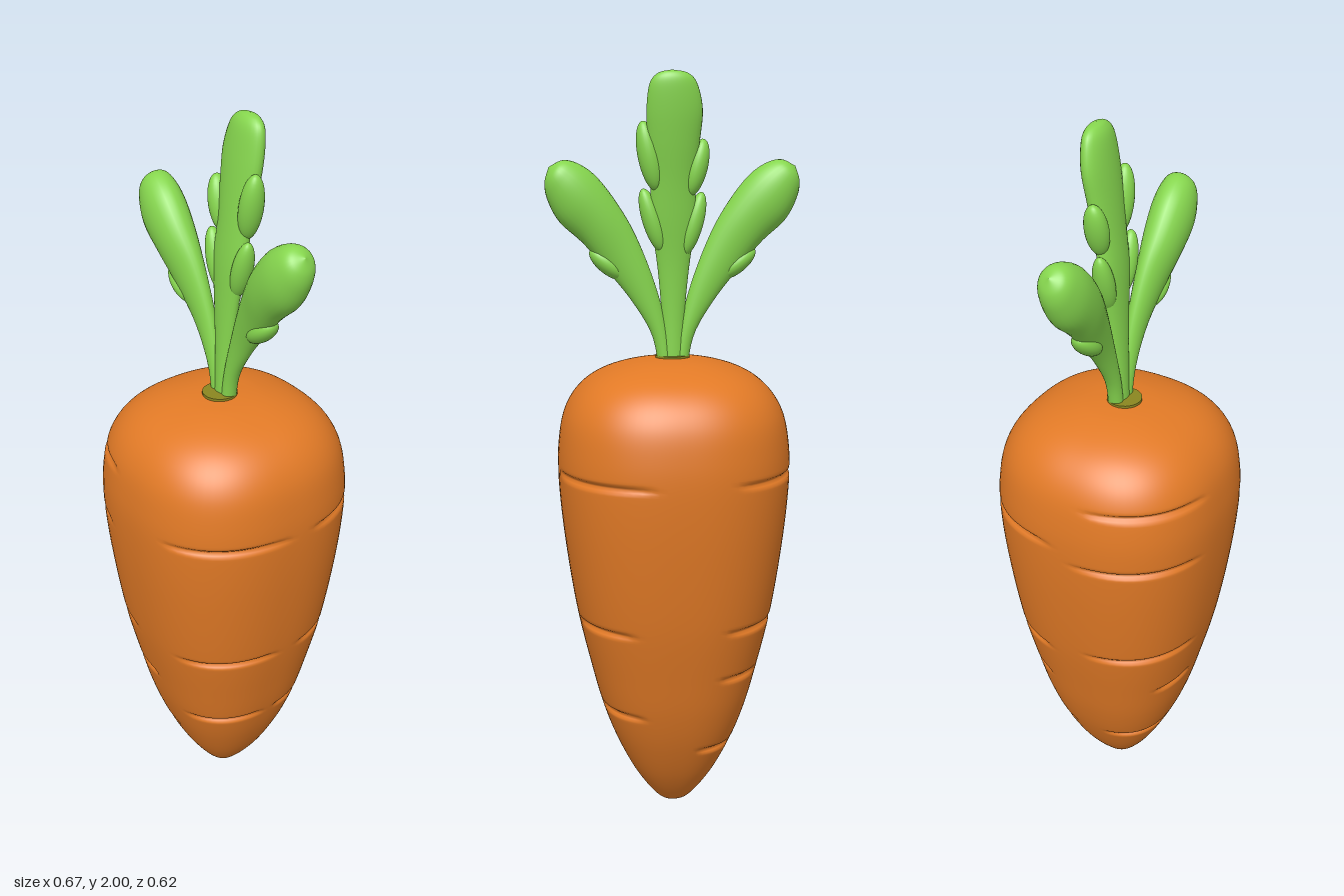
import * as THREE from 'three';
import { mergeVertices } from 'three/addons/utils/BufferGeometryUtils.js';

const orange = new THREE.MeshStandardMaterial({ name: 'carrot orange', color: 0xe27a26 });
const green = new THREE.MeshStandardMaterial({ name: 'leaf green', color: 0x86d64e });
const olive = new THREE.MeshStandardMaterial({ name: 'crown olive', color: 0x8a8620 });

// Shallow grooves: height, start and end angle in degrees (from +z towards +x)
const GROOVES = [
  [0.965, 25, 88], [0.56, 27, 88], [0.31, 24, 88],
  [0.965, 103, 165], [0.56, 105, 152], [0.31, 100, 152],
  [0.965, 206, 263], [0.56, 206, 254], [0.42, 207, 244], [0.2, 198, 247],
  [1.09, 282, 346], [0.915, 276, 341], [0.58, 280, 349], [0.42, 325, 360], [0.2, 285, 358],
];

function grooveDepth(angle, y) {
  let depth = 0;
  for (const [gy, a, b] of GROOVES) {
    const u = (angle - a) / (b - a);
    if (u <= 0 || u >= 1) continue;
    depth += 0.014 * Math.sqrt(Math.sin(Math.PI * u)) * Math.exp(-(((y - gy) / 0.007) ** 2));
  }
  return depth;
}

// Root: lathe pushed to a rounded-square section, with grooves pressed in
function makeRoot() {
  const profile = [
    [0, 0], [0.045, 0.022], [0.105, 0.1], [0.157, 0.2], [0.195, 0.3], [0.225, 0.41],
    [0.264, 0.58], [0.294, 0.78], [0.308, 0.94], [0.305, 1.04], [0.288, 1.12],
    [0.25, 1.18], [0.19, 1.222], [0.1, 1.25], [0, 1.26],
  ].map(([r, y]) => new THREE.Vector2(r, y));
  const points = new THREE.SplineCurve(profile).getSpacedPoints(260);
  points.forEach((p) => { p.x = Math.max(p.x, 0); });
  points[0].set(0, 0);
  points[260].set(0, 1.26);

  let geometry = new THREE.LatheGeometry(points, 88);
  const pos = geometry.attributes.position;
  for (let i = 0; i < pos.count; i++) {
    const x = pos.getX(i), y = pos.getY(i), z = pos.getZ(i);
    const r = Math.hypot(x, z);
    if (r < 1e-5) continue;
    const c = Math.abs(x / r), s = Math.abs(z / r), n = 2.4;
    const square = 1 / (c ** n + s ** n) ** (1 / n);
    const angle = (THREE.MathUtils.radToDeg(Math.atan2(x, z)) + 360) % 360;
    const k = square - grooveDepth(angle, y) / r;
    pos.setXYZ(i, x * k, y, z * k);
  }
  geometry.deleteAttribute('uv');
  geometry.deleteAttribute('normal');
  geometry = mergeVertices(geometry, 1e-5);
  geometry.computeVertexNormals();
  return geometry;
}

// Blade lofted through elliptical sections: [leftX, leftY, rightX, rightY, z, half thickness]
function makeBlade(stations) {
  const curve = (pick) => new THREE.CatmullRomCurve3(
    stations.map((s) => new THREE.Vector3(...pick(s))), false, 'catmullrom', 0.5);
  const left = curve((s) => [s[0], s[1], s[4]]);
  const right = curve((s) => [s[2], s[3], s[4]]);
  const thick = curve((s) => [s[5], 0, 0]);
  const rows = 56, sides = 28, positions = [], index = [];
  for (let j = 0; j <= rows; j++) {
    // Rows bunch up near the tip to keep it round
    const t = 1 - (1 - j / rows) ** 1.6;
    const l = left.getPoint(t), r = right.getPoint(t), h = Math.max(thick.getPoint(t).x, 0);
    const mid = l.clone().add(r).multiplyScalar(0.5);
    const half = r.sub(l).multiplyScalar(0.5);
    for (let i = 0; i < sides; i++) {
      const a = (i / sides) * Math.PI * 2;
      const p = mid.clone().addScaledVector(half, Math.cos(a));
      positions.push(p.x, p.y, p.z + h * Math.sin(a));
      if (j === rows) continue;
      const k = j * sides + i, next = j * sides + ((i + 1) % sides);
      index.push(k, k + sides, next, next, k + sides, next + sides);
    }
  }
  const geometry = new THREE.BufferGeometry();
  geometry.setAttribute('position', new THREE.Float32BufferAttribute(positions, 3));
  geometry.setIndex(index);
  const merged = mergeVertices(geometry, 1e-5);
  merged.computeVertexNormals();
  return merged;
}

// Leaf = blade plus small egg-shaped lobes: [x, y, z, length, width, depth, tilt from upright]
function makeLeaf(name, stations, lobes) {
  const leaf = new THREE.Group();
  leaf.name = name;
  const blade = new THREE.Mesh(makeBlade(stations), green);
  blade.name = 'leafBlade';
  leaf.add(blade);
  for (const [x, y, z, length, width, depth, tilt] of lobes) {
    const lobe = new THREE.Mesh(new THREE.SphereGeometry(1, 28, 20), green);
    lobe.name = 'leafLobe';
    lobe.scale.set(width, length, depth);
    lobe.position.set(x, y, z);
    lobe.rotation.z = -tilt;
    leaf.add(lobe);
  }
  return leaf;
}

export function createModel() {
  const model = new THREE.Group();
  model.name = 'carrot';

  const root = new THREE.Mesh(makeRoot(), orange);
  root.name = 'root';
  model.add(root);

  // Small disc where the leaves sprout
  const crown = new THREE.Mesh(new THREE.CylinderGeometry(0.046, 0.046, 0.008, 32), olive);
  crown.name = 'crown';
  crown.position.set(0, 1.259, 0.012);
  model.add(crown);

  // Middle leaf, leaning back
  model.add(makeLeaf('middleLeaf', [
    [-0.03, 1.22, 0.03, 1.22, 0, 0.022],
    [-0.03, 1.36, 0.03, 1.36, -0.002, 0.02],
    [-0.042, 1.5, 0.042, 1.5, -0.008, 0.022],
    [-0.058, 1.62, 0.06, 1.62, -0.018, 0.028],
    [-0.055, 1.72, 0.062, 1.72, -0.03, 0.03],
    [-0.064, 1.82, 0.07, 1.82, -0.045, 0.033],
    [-0.07, 1.9, 0.074, 1.9, -0.057, 0.033],
    [-0.055, 1.965, 0.067, 1.965, -0.066, 0.028],
    [-0.03, 1.992, 0.045, 1.992, -0.07, 0.017],
    [0.01, 2, 0.01, 2, -0.071, 0],
  ], [
    [0.065, 1.785, -0.035, 0.09, 0.03, 0.032, 0.2],
    [-0.058, 1.755, -0.032, 0.075, 0.028, 0.032, -0.25],
    [0.056, 1.62, -0.016, 0.085, 0.026, 0.028, 0.3],
    [-0.051, 1.61, -0.016, 0.085, 0.026, 0.028, -0.28],
  ]));

  // Side leaves, mirrored
  const side = [
    [0, 1.22, 0.036, 1.22, 0, 0.02],
    [0.015, 1.33, 0.057, 1.32, 0, 0.02],
    [0.05, 1.46, 0.11, 1.41, 0, 0.024],
    [0.1, 1.585, 0.17, 1.485, 0.004, 0.035],
    [0.15, 1.67, 0.235, 1.56, 0.008, 0.05],
    [0.2, 1.733, 0.295, 1.615, 0.007, 0.056],
    [0.245, 1.765, 0.325, 1.67, 0.004, 0.05],
    [0.285, 1.774, 0.333, 1.715, 0.001, 0.035],
    [0.322, 1.757, 0.322, 1.757, 0, 0],
  ];
  const sideLobe = [0.17, 1.505, 0.006, 0.06, 0.026, 0.033, 0.9];
  const [x, y, z, length, width, depth, tilt] = sideLobe;
  model.add(makeLeaf('leftLeaf', side, [sideLobe]));
  model.add(makeLeaf('rightLeaf',
    side.map(([lx, ly, rx, ry, cz, h]) => [-rx, ry, -lx, ly, cz, h]),
    [[-x, y, z, length, width, depth, -tilt]]));

  return model;
}
